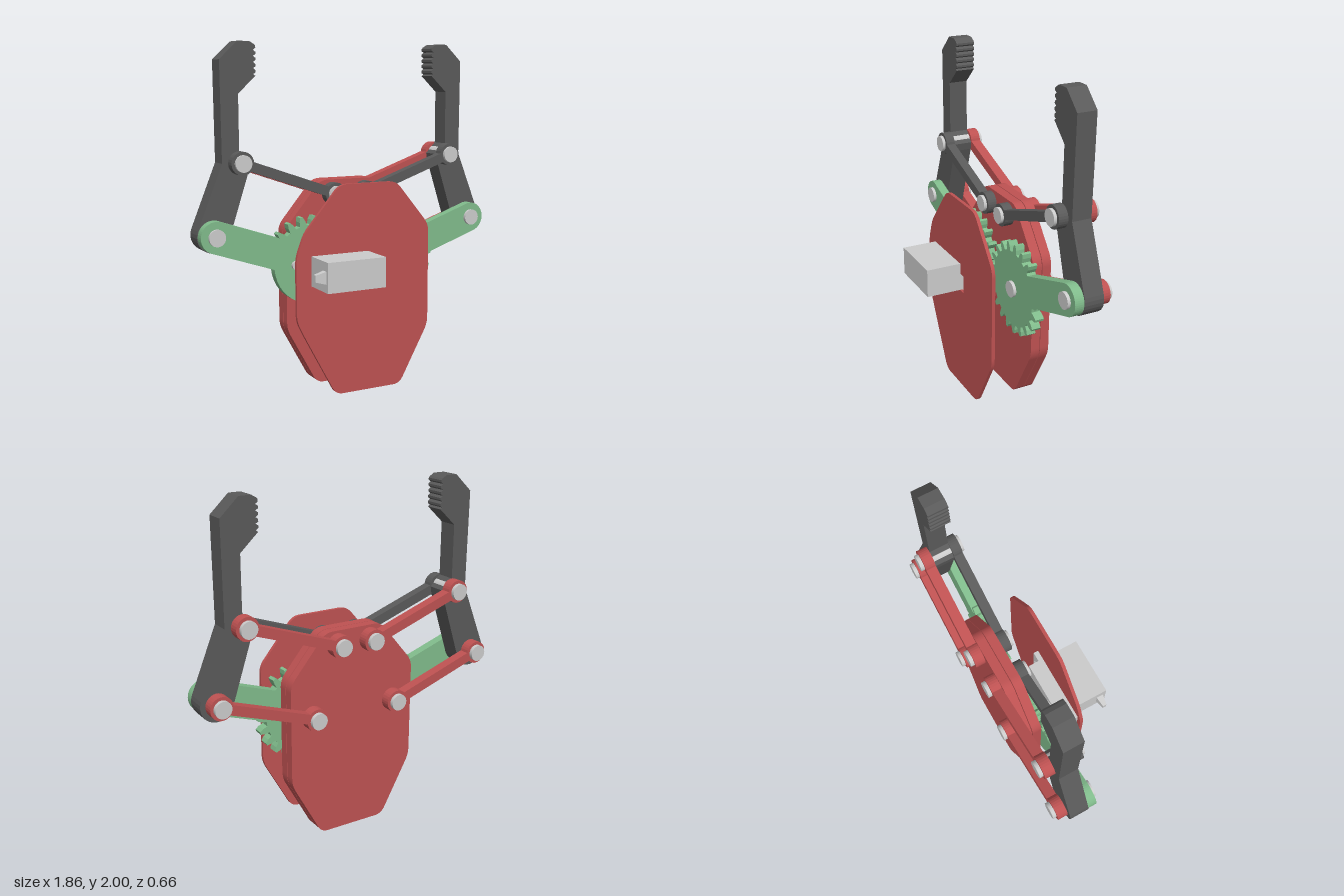
import * as THREE from 'three';

const RED = 0xbe5252, DARK = 0x5a5a5a, GREEN = 0x80bb8b, GREY = 0xcccccc;

const V = (x, y) => new THREE.Vector2(x, y);

export function createModel() {
  const model = new THREE.Group();
  model.name = 'gripper';

  const add = (name, geo, color, x = 0, y = 0, z = 0) => {
    const mesh = new THREE.Mesh(geo, new THREE.MeshStandardMaterial({ color }));
    mesh.name = name;
    mesh.position.set(x, y, z);
    model.add(mesh);
    return mesh;
  };

  // Flat part cut from a sheet between two depths
  const sheet = (name, shape, color, z0, z1, x = 0, y = 0) =>
    add(name, new THREE.ExtrudeGeometry(shape, { depth: z1 - z0, bevelEnabled: false, curveSegments: 12 }), color, x, y, z0);

  const box = (name, x0, x1, y0, y1, z0, z1, color = GREY) =>
    add(name, new THREE.BoxGeometry(x1 - x0, y1 - y0, z1 - z0), color, (x0 + x1) / 2, (y0 + y1) / 2, (z0 + z1) / 2);

  const rod = (name, r, x, y, z0, z1) => {
    const geo = new THREE.CylinderGeometry(r, r, z1 - z0, 32).rotateX(Math.PI / 2);
    return add(name, geo, GREY, x, y, (z0 + z1) / 2);
  };

  // Polygon with rounded corners
  const rounded = (points, r) => {
    const pts = points.map(([x, y]) => V(x, y));
    const shape = new THREE.Shape();
    pts.forEach((p, i) => {
      const prev = pts[(i + pts.length - 1) % pts.length], next = pts[(i + 1) % pts.length];
      const toward = (q) => p.clone().add(q.clone().sub(p).setLength(Math.min(r, p.distanceTo(q) * 0.45)));
      const a = toward(prev), b = toward(next);
      if (i) shape.lineTo(a.x, a.y); else shape.moveTo(a.x, a.y);
      shape.quadraticCurveTo(p.x, p.y, b.x, b.y);
    });
    shape.closePath();
    return shape;
  };

  // Bar with a round eye at each end, lying along +x
  const linkShape = (length, r, halfWidth) => {
    const a = Math.asin(halfWidth / r);
    const shape = new THREE.Shape();
    shape.absarc(0, 0, r, a, 2 * Math.PI - a, false);
    shape.absarc(length, 0, r, Math.PI + a, 3 * Math.PI - a, false);
    shape.closePath();
    return shape;
  };
  const link = (name, from, to, r, halfWidth, color, z0, z1) => {
    const d = V(to[0] - from[0], to[1] - from[1]);
    sheet(name, linkShape(d.length(), r, halfWidth), color, z0, z1, ...from).rotation.z = d.angle();
  };

  // Gear outline; only teeth numbered first..last are cut
  const gearShape = (first, last) => {
    const n = 21, step = (2 * Math.PI) / n, pts = [];
    const put = (r, a) => pts.push(V(r * Math.cos(a), r * Math.sin(a)));
    for (let i = 0; i < n; i++) {
      const k = i > n / 2 ? i - n : i;
      const toothed = k >= first && k <= last;
      const radii = toothed ? [0.228, 0.255, 0.279, 0.279, 0.255, 0.228] : Array(6).fill(0.232);
      [-0.3, -0.23, -0.1, 0.1, 0.23, 0.3].forEach((f, j) => put(radii[j], (i + f) * step));
    }
    return new THREE.Shape(pts);
  };

  // Two stacked body plates
  const octagon = [[-0.21, 0], [0.21, 0], [0.4, 0.35], [0.4, 0.95], [0.18, 1.215], [-0.18, 1.215], [-0.4, 0.95], [-0.4, 0.35]];
  sheet('bodyPlateBack', rounded(octagon, 0.045), RED, -0.25, -0.195);
  sheet('bodyPlateFront', rounded(octagon, 0.045), RED, -0.191, -0.135);

  // Front plate with a bulge and cutout for the servo
  const cover = rounded([[-0.21, 0.005], [0.21, 0.005], [0.4, 0.35], [0.4, 0.95], [0.18, 1.215], [-0.18, 1.215],
    [-0.4, 0.955], [-0.45, 0.82], [-0.45, 0.46], [-0.4, 0.36]], 0.045);
  cover.holes.push(new THREE.Path([V(-0.36, 0.65), V(-0.36, 0.76), V(0.04, 0.76), V(0.04, 0.65)]));
  sheet('frontPlate', cover, RED, 0.1, 0.12);

  for (const s of [1, -1]) {
    const side = s > 0 ? 'left' : 'right';
    const gearPivot = [0.265 * s, 0.74], elbow = [0.835 * s, 0.935];
    const linkPivot = [0.105 * s, 1.135], knuckle = [0.675 * s, 1.335];

    // Gear with its drive arm
    sheet(side + 'Gear', s > 0 ? gearShape(-10, 10) : gearShape(-6, 8), GREEN, -0.135, -0.08, ...gearPivot);
    link(side + 'DriveArm', gearPivot, elbow, 0.09, 0.0899, GREEN, -0.135, -0.08);

    // Parallel links in front of and behind the body
    link(side + 'FrontLink', linkPivot, knuckle, 0.066, 0.028, DARK, -0.135, -0.08);
    link(side + 'BackUpperLink', linkPivot, knuckle, 0.066, 0.028, RED, -0.31, -0.25);
    link(side + 'BackLowerLink', gearPivot, elbow, 0.066, 0.028, RED, -0.31, -0.25);

    // Finger: rounded heel, bent shank, serrated jaw
    const outline = [];
    for (let i = 0; i <= 14; i++) {
      const a = Math.PI * (-0.9 + (1.02 * i) / 14);
      outline.push([0.835 + 0.095 * Math.cos(a), 0.935 + 0.095 * Math.sin(a)]);
    }
    outline.push([0.776, 1.335], [0.78, 1.9], [0.675, 2], [0.605, 2], [0.58, 1.985]);
    for (let i = 0; i < 5; i++) {
      const y = 1.975 - i * 0.033;
      outline.push([0.57, y], [0.57, y - 0.012], [0.585, y - 0.022]);
    }
    outline.push([0.572, 1.812], [0.675, 1.715], [0.675, 1.4], [0.612, 1.335], [0.62, 1.29]);
    sheet(side + 'Finger', new THREE.Shape(outline.map(([x, y]) => V(x * s, y))), DARK, -0.25, -0.135);

    // Pivot pins
    for (const p of [gearPivot, elbow, linkPivot, knuckle]) rod(side + 'Pin', 0.048, ...p, -0.332, -0.062);
  }

  // Servo motor, mounting flange and cable plug
  box('servoBody', -0.36, -0.004, 0.655, 0.825, 0.005, 0.33);
  const flange = new THREE.Shape([V(-0.42, 0.655), V(0.055, 0.655), V(0.055, 0.825), V(-0.42, 0.825)]);
  for (const x of [-0.39, 0.025]) {
    const hole = new THREE.Path();
    hole.absarc(x, 0.705, 0.018, 0, Math.PI * 2, true);
    flange.holes.push(hole);
  }
  sheet('servoFlange', flange, GREY, 0.07, 0.1);
  const plug = new THREE.CylinderGeometry(0.027, 0.05, 0.06, 4, 1).rotateY(Math.PI / 4).rotateZ(Math.PI / 2);
  const plugMesh = add('cablePlug', plug, GREY, -0.39, 0.738, 0.29);
  plugMesh.scale.z = 0.6;
  plugMesh.material.flatShading = true;

  // Output shaft and cross-shaped horn
  rod('servoCollar', 0.055, -0.268, 0.74, -0.02, 0.01);
  rod('servoShaft', 0.033, -0.268, 0.74, -0.08, -0.015);
  for (let i = 0; i < 4; i++) {
    sheet('servoHorn', linkShape(0.1, 0.025, 0.0249), GREY, -0.08, -0.06, -0.268, 0.74).rotation.z = (i * Math.PI) / 2;
  }
  return model;
}
